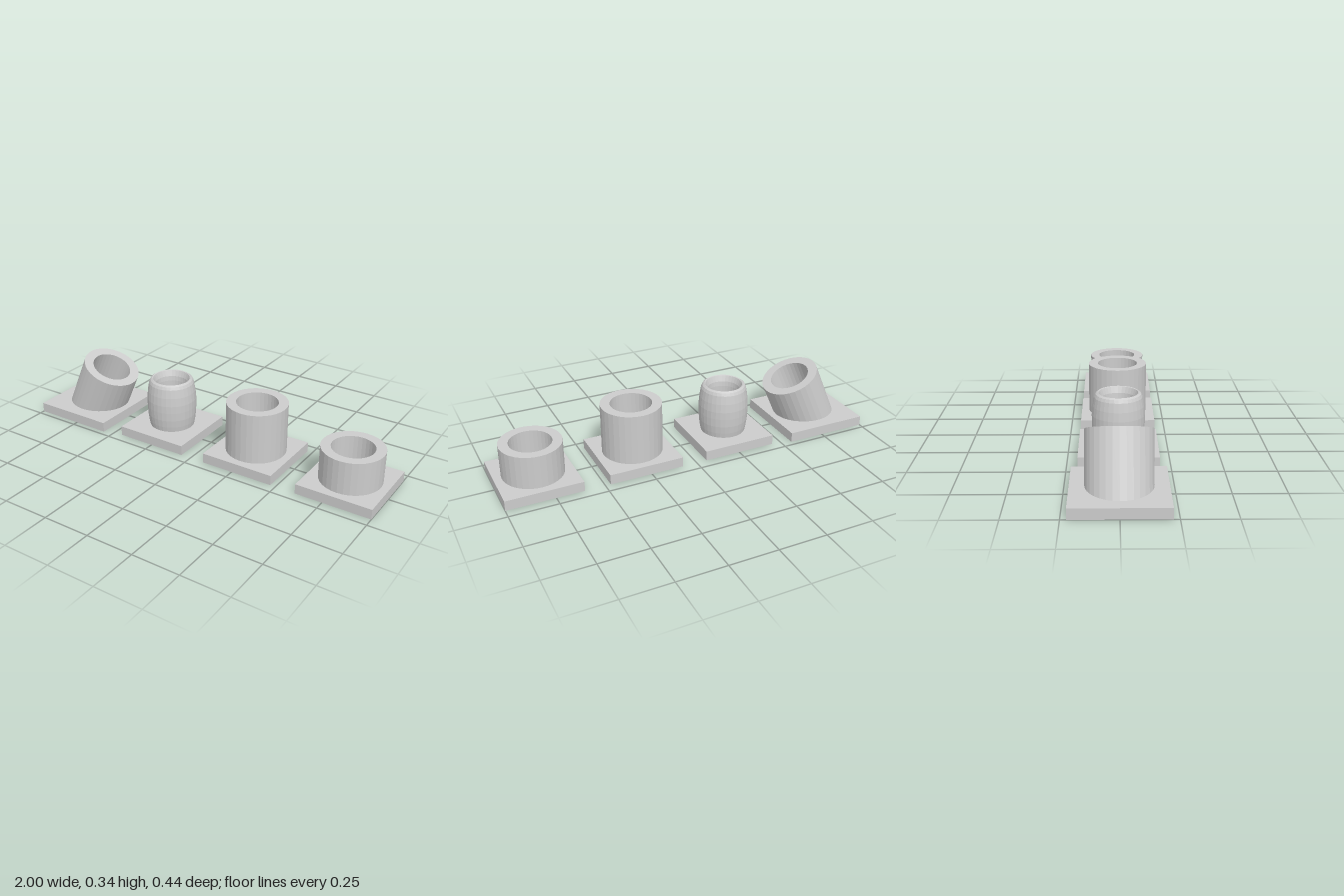
import * as THREE from 'three';

const BASE_H = 0.052, SEG = 32;
const material = new THREE.MeshStandardMaterial({ color: 0xcccccc, flatShading: true, side: THREE.DoubleSide });

function mesh(name, geometry, parent) {
  const m = new THREE.Mesh(geometry, material);
  m.name = name;
  parent.add(m);
  return m;
}

function lathe(points) {
  return new THREE.LatheGeometry(points.map(([r, y]) => new THREE.Vector2(r, y)), SEG);
}

// Square plate carrying an upright hollow sleeve
function uprightSocket(name, x, profile) {
  const g = new THREE.Group();
  g.name = name;
  g.position.x = x;
  mesh('basePlate', new THREE.BoxGeometry(0.394, BASE_H, 0.394), g).position.y = BASE_H / 2;
  mesh('sleeve', lathe(profile), g);
  return g;
}

function straightProfile(top) {
  return [[0.157, BASE_H], [0.157, top], [0.107, top], [0.107, BASE_H]];
}

// Hollow plate, open below, carrying a sleeve that leans towards +x
function tiltedSocket() {
  const g = new THREE.Group();
  g.name = 'tiltedSocket';
  const tilt = THREE.MathUtils.degToRad(24.2), half = 0.2225;
  const outer = 0.155, inner = 0.105, length = 0.247;
  const plateX = -0.7775, sleeveX = -0.763;

  // Plate top with an elliptical opening under the sleeve
  const shape = new THREE.Shape([[-1, -1], [1, -1], [1, 1], [-1, 1]]
    .map(([u, v]) => new THREE.Vector2(u * half, v * half)));
  const hole = new THREE.Path();
  hole.absellipse(sleeveX - plateX, 0, outer / Math.cos(tilt), outer, 0, Math.PI * 2, true);
  shape.holes.push(hole);
  const top = mesh('basePlateTop', new THREE.ShapeGeometry(shape, SEG / 2), g);
  top.rotation.x = -Math.PI / 2;
  top.position.set(plateX, BASE_H, 0);

  // Four plate sides
  for (let i = 0; i < 4; i++) {
    const side = new THREE.PlaneGeometry(half * 2, BASE_H);
    side.translate(0, BASE_H / 2, half);
    side.rotateY(i * Math.PI / 2);
    mesh('basePlateSide', side, g).position.x = plateX;
  }

  // Sleeve, with its lower end cut level with the plate
  const sleeve = lathe([[outer, 0], [outer, length], [inner, length], [inner, 0]]);
  const p = sleeve.attributes.position;
  for (let i = 0; i < p.count; i++) {
    if (p.getY(i) < length / 2) p.setY(i, p.getX(i) * Math.tan(tilt));
  }
  sleeve.computeVertexNormals();
  const s = mesh('tiltedSleeve', sleeve, g);
  s.position.set(sleeveX, BASE_H, 0);
  s.rotation.z = -tilt;
  return g;
}

export function createModel() {
  const model = new THREE.Group();
  model.name = 'socketSet';
  const barrel = [
    [0.119, BASE_H], [0.124, 0.08], [0.129, 0.12], [0.131, 0.165], [0.131, 0.205],
    [0.127, 0.25], [0.119, 0.295], [0.112, 0.31], [0.102, 0.317],
    [0.097, 0.315], [0.085, 0.285], [0.082, 0.26], [0.082, BASE_H],
  ];
  model.add(
    tiltedSocket(),
    uprightSocket('barrelSocket', -0.253, barrel),
    uprightSocket('tallSocket', 0.275, straightProfile(0.317)),
    uprightSocket('shortSocket', 0.803, straightProfile(0.224)),
  );
  return model;
}
